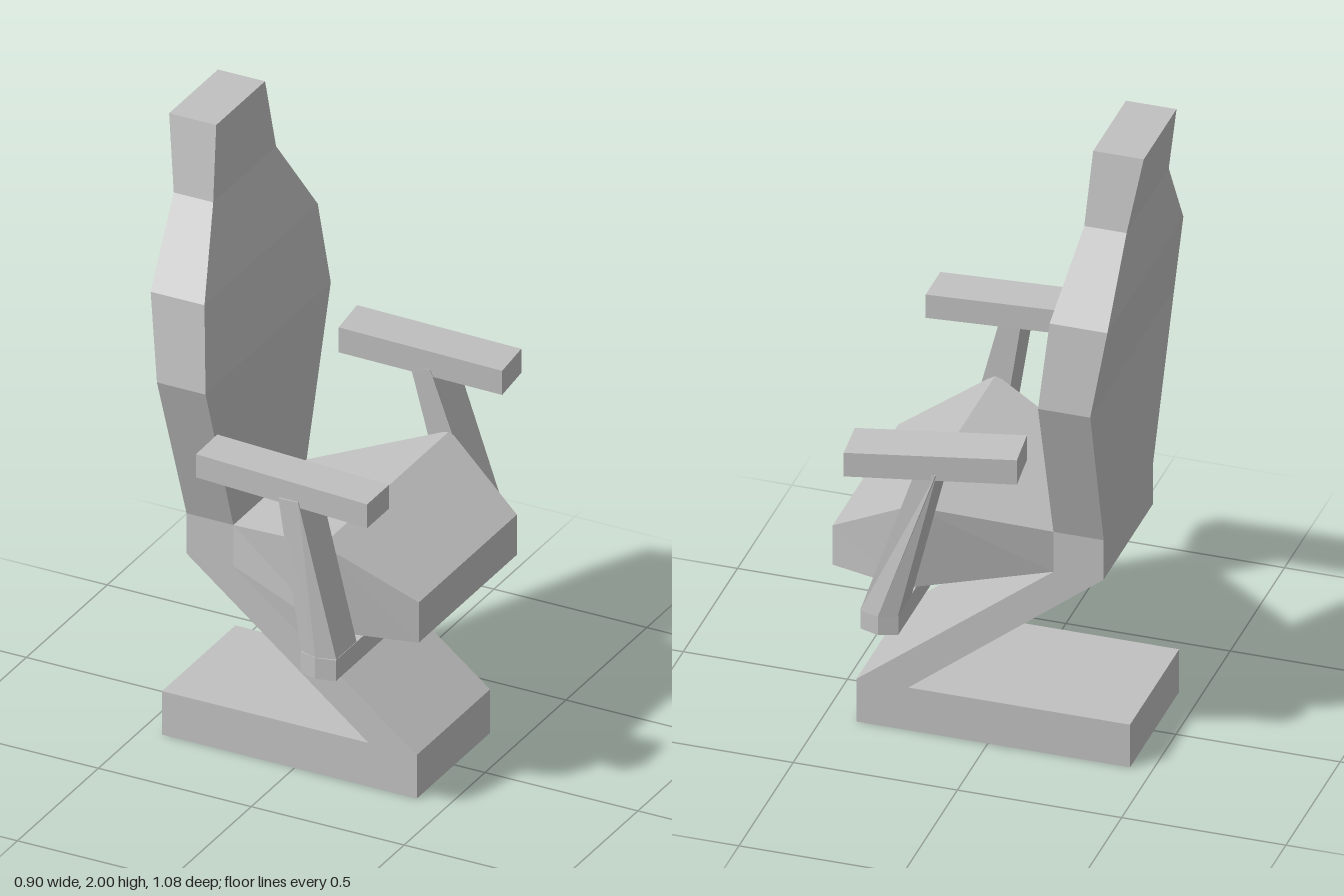
import * as THREE from 'three';

const grey = new THREE.MeshStandardMaterial({ color: 0xc0c0c0, flatShading: true });
grey.name = 'plain grey';

// Skin a run of rings, each counter-clockwise as seen from the last ring, with flat end caps
function loft(name, rings) {
  const pos = [];
  const tri = (a, b, c) => pos.push(...a, ...b, ...c);
  const n = rings[0].length;
  for (let r = 0; r < rings.length - 1; r++) {
    const A = rings[r], B = rings[r + 1];
    for (let i = 0; i < n; i++) {
      const j = (i + 1) % n;
      tri(A[i], A[j], B[j]);
      tri(A[i], B[j], B[i]);
    }
  }
  const first = rings[0], last = rings[rings.length - 1];
  for (let i = 1; i < n - 1; i++) {
    tri(first[0], first[i + 1], first[i]);
    tri(last[0], last[i], last[i + 1]);
  }
  const geo = new THREE.BufferGeometry();
  geo.setAttribute('position', new THREE.Float32BufferAttribute(pos, 3));
  geo.computeVertexNormals();
  const mesh = new THREE.Mesh(geo, grey);
  mesh.name = name;
  return mesh;
}

const MID = 0.006; // z of the chair's centre plane

export function createModel() {
  const chair = new THREE.Group();
  chair.name = 'chair';

  // Z-shaped base, slanted leg and the block under the backrest
  const profile = [[-0.433, 0], [0.4, 0], [0.4, 0.143], [-0.2, 0.613], [-0.2, 0.747],
    [-0.353, 0.747], [-0.353, 0.615], [0.242, 0.143], [-0.433, 0.143]];
  const frameGeo = new THREE.ExtrudeGeometry(
    new THREE.Shape(profile.map(p => new THREE.Vector2(...p))),
    { depth: 0.453, bevelEnabled: false });
  frameGeo.translate(0, 0, MID - 0.2265);
  const frame = new THREE.Mesh(frameGeo, grey);
  frame.name = 'baseAndLeg';
  chair.add(frame);

  // Backrest: height, rear x, front x, half width
  const backSections = [
    [0.747, -0.353, -0.2, 0.2265],
    [1.25, -0.365, -0.206, 0.387],
    [1.52, -0.405, -0.229, 0.35],
    [1.77, -0.412, -0.283, 0.194],
    [2.0, -0.45, -0.296, 0.151],
  ];
  chair.add(loft('backrest', backSections.map(([y, x0, x1, w]) => [
    [x1, y, MID + w], [x1, y, MID - w], [x0, y, MID - w], [x0, y, MID + w],
  ])));

  // Seat: bottom x, y, half width, then top x, y, half width
  const seatSections = [
    [-0.2, 0.613, 0.2265, -0.2, 0.747, 0.2265],
    [0.2, 0.572, 0.382, 0.18, 0.857, 0.395],
    [0.447, 0.56, 0.303, 0.447, 0.692, 0.303],
  ];
  chair.add(loft('seat', seatSections.map(([xb, yb, wb, xt, yt, wt]) => [
    [xb, yb, MID + wb], [xb, yb, MID - wb], [xt, yt, MID - wt], [xt, yt, MID + wt],
  ])));

  // Crossbar under the seat, with pointed ends
  const bar = y => [[0.29, y, 0.525], [0.29, y, -0.515], [0.23, y, -0.536],
    [0.175, y, -0.515], [0.175, y, 0.525], [0.23, y, 0.54]];
  chair.add(loft('armCrossbar', [bar(0.497), bar(0.565)]));

  // Arm posts: the ridge on the outer face fades out towards the pad
  const post = (name, side, topX, inner, outer) => {
    const section = (y, xf, xr, xb, zi, zo, zr) => {
      const ring = [[xf, y, zo * side], [xf, y, zi * side], [xb, y, zi * side],
        [xb, y, zo * side], [xr, y, zr * side]];
      return side > 0 ? ring : ring.reverse();
    };
    chair.add(loft(name, [
      section(0.56, 0.29, 0.23, 0.175, 0.395, 0.52, 0.538),
      section(1.05, topX + 0.065, topX + 0.003, topX, inner, outer, outer + 0.002),
    ]));
  };
  post('leftArmPost', 1, 0.1, 0.39, 0.522);
  post('rightArmPost', -1, 0.06, 0.37, 0.512);

  // Arm pads: each end as its outline corners [x, z], low z last, plus bottom and top heights
  const pad = (name, ends) => chair.add(loft(name, ends.map(([near, far, y0, y1]) => [
    [near[0], y0, near[1]], [far[0], y0, far[1]],
    [far[0], y1, far[1]], [near[0], y1, near[1]],
  ])));
  pad('leftArmPad', [
    [[-0.17, 0.52], [-0.172, 0.385], 1.048, 1.124],
    [[0.388, 0.517], [0.388, 0.381], 1.02, 1.098],
  ]);
  pad('rightArmPad', [
    [[-0.16, -0.343], [-0.177, -0.488], 1.05, 1.132],
    [[0.347, -0.395], [0.333, -0.54], 1.013, 1.092],
  ]);

  return chair;
}
